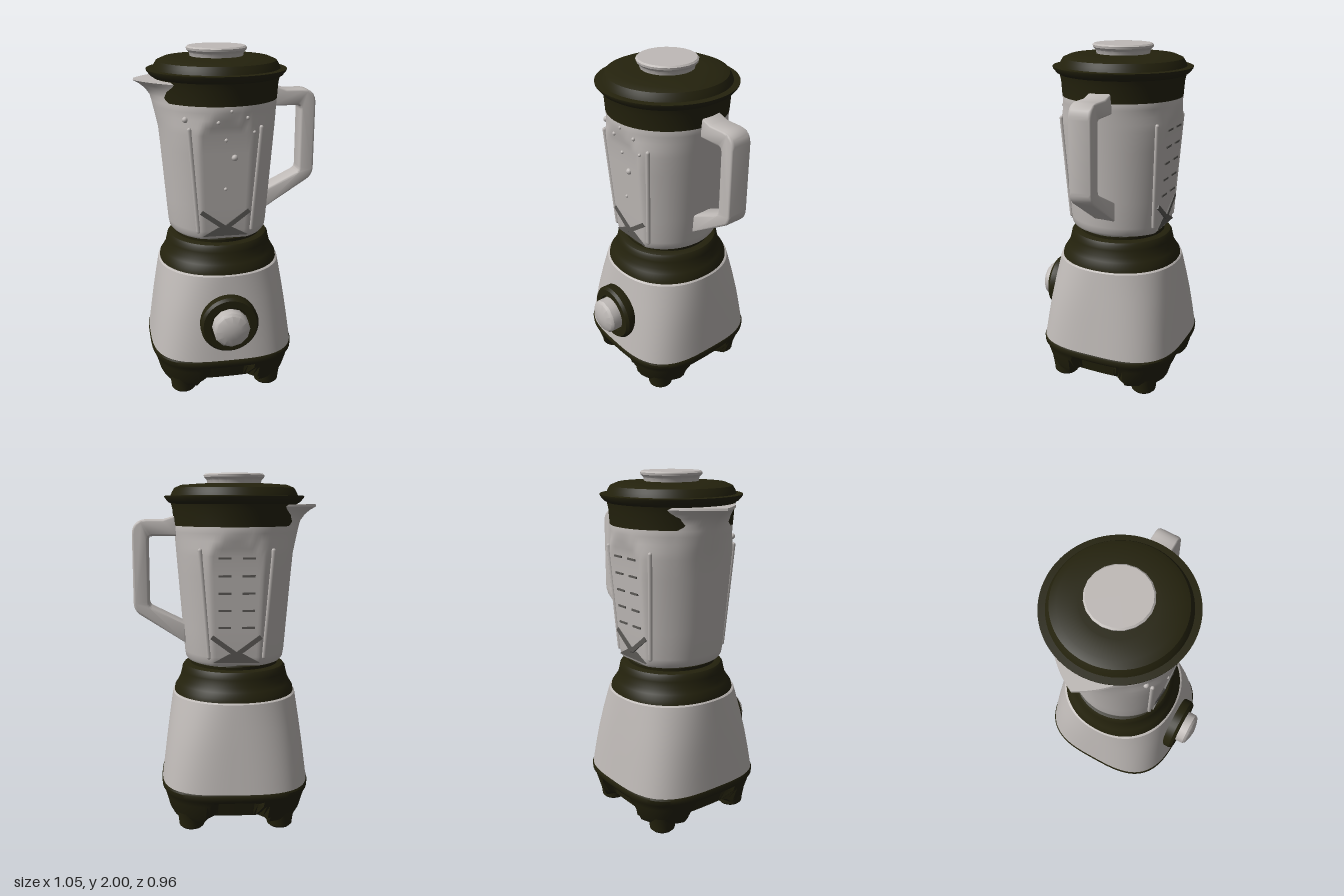
import * as THREE from 'three';
import { toCreasedNormals } from 'three/addons/utils/BufferGeometryUtils.js';

const CX = -0.055, CZ = -0.05;

// Closed loft: each row is handed to point(angle, row) -> [x, y, z], rows run upward
function loft(rows, point, n = 96, crease = 0.6) {
  const pos = [], idx = [];
  rows.forEach((row) => {
    for (let i = 0; i < n; i++) pos.push(...point((i / n) * Math.PI * 2, row));
  });
  for (let j = 0; j < rows.length - 1; j++) {
    for (let i = 0; i < n; i++) {
      const a = j * n + i, b = j * n + ((i + 1) % n);
      idx.push(a, a + n, b, b, a + n, b + n);
    }
  }
  // Caps
  [[0, 1], [rows.length - 1, -1]].forEach(([j, s]) => {
    const c = pos.length / 3;
    pos.push(0, pos[j * n * 3 + 1], 0);
    for (let i = 0; i < n; i++) {
      const a = j * n + i, b = j * n + ((i + 1) % n);
      if (s > 0) idx.push(c, a, b); else idx.push(c, b, a);
    }
  });
  const g = new THREE.BufferGeometry();
  g.setAttribute('position', new THREE.Float32BufferAttribute(pos, 3));
  g.setIndex(idx);
  return toCreasedNormals(g, crease);
}

// Superellipse point of half-width r and exponent p
function squircle(a, r, p) {
  const c = Math.cos(a), s = Math.sin(a);
  const k = r / Math.pow(Math.abs(c) ** p + Math.abs(s) ** p, 1 / p);
  return [c * k, s * k];
}

function lathe(points, segments) {
  const g = new THREE.LatheGeometry(points.map(([r, y]) => new THREE.Vector2(r, y)), segments);
  return toCreasedNormals(g, 0.6);
}

export function createModel() {
  const model = new THREE.Group();
  const mat = (name, color, side = THREE.FrontSide) => {
    const m = new THREE.MeshStandardMaterial({ color, side });
    m.name = name;
    return m;
  };
  const light = mat('pale grey', 0xbfbab7, THREE.DoubleSide);
  const dark = mat('dark olive', 0x24220d, THREE.DoubleSide);
  const steel = mat('dark steel', 0x5a5855);

  const body = new THREE.Group();
  body.name = 'blender';
  body.position.set(CX, 0, CZ);
  model.add(body);
  const add = (name, geometry, material, parent = body) => {
    const m = new THREE.Mesh(geometry, material);
    m.name = name;
    parent.add(m);
    return m;
  };

  // Base skirt with an arch recessed into each side: rows are [half width, y, recess]
  add('baseSkirt', loft([
    [0.35, 0.05, 1], [0.375, 0.06, 1], [0.39, 0.09, 1], [0.412, 0.17, 1],
    [0.42, 0.2, 0], [0.43, 0.215, 0], [0.432, 0.24, 0], [0.427, 0.25, 0],
  ], (a, [r, y, recess]) => {
    let [x, z] = squircle(a, r, 3.2);
    const half = 0.165 - (y - 0.05) * 0.25;
    const t = recess * THREE.MathUtils.clamp((half + 0.015 - Math.min(Math.abs(x), Math.abs(z))) / 0.025, 0, 1);
    x *= 1 - 0.13 * t;
    z *= 1 - 0.13 * t;
    return [x, y + (y < 0.07 ? 0.05 * t : 0), z];
  }, 160), dark);

  // Feet
  for (const sx of [-1, 1]) for (const sz of [-1, 1]) {
    add('foot', lathe([[0, 0], [0.06, 0], [0.072, 0.012], [0.076, 0.05], [0.085, 0.1]], 24), dark)
      .position.set(sx * 0.255, 0, sz * 0.262);
  }

  // Motor housing, square at the bottom and rounder at the top: [half width, y, exponent]
  const ring = (a, [r, y, p]) => {
    const [x, z] = squircle(a, r, p);
    return [x, y, z];
  };
  add('motorHousing', loft([
    [0.427, 0.25, 3.2], [0.413, 0.36, 3.1], [0.398, 0.48, 2.9], [0.382, 0.6, 2.6],
    [0.366, 0.71, 2.3], [0.36, 0.75, 2.2], [0.352, 0.757, 2.15],
  ], ring), light);

  // Collar and jar seat
  add('collar', loft([
    [0.351, 0.752, 2.15], [0.348, 0.78, 2.1], [0.33, 0.81, 2.05], [0.317, 0.835, 2], [0.307, 0.875, 2],
    [0.302, 0.9, 2], [0.291, 0.915, 2], [0.27, 0.922, 2],
  ], ring), dark);
  add('jarSeat', lathe([[0.255, 0.915], [0.258, 0.94], [0.25, 0.955]], 64), dark);

  // Control dial
  const dial = new THREE.Group();
  dial.name = 'controlDial';
  dial.position.set(0, 0.48, 0);
  dial.rotation.x = Math.PI / 2;
  body.add(dial);
  add('dialRing', lathe([[0.16, 0.36], [0.167, 0.375], [0.168, 0.425], [0.155, 0.442],
    [0.115, 0.442], [0.108, 0.432], [0, 0.432]], 40), dark, dial);
  add('dialKnob', lathe([[0.105, 0.42], [0.105, 0.49], [0.092, 0.505], [0.05, 0.518], [0, 0.525]], 12), light, dial);

  // Jar: round at the rim, flattened front and back below, creased toward the spout
  const jarRadius = (y) => THREE.MathUtils.mapLinear(y, 0.96, 1.72, 0.284, 0.344);
  const panel = (y) => 1 - THREE.MathUtils.smoothstep(y, 1.56, 1.68);
  const jarPoint = (a, [r, y, pull, width]) => {
    let x = Math.cos(a) * r;
    let z = Math.sin(a) * r * (1 + 0.07 * panel(y));
    const limit = r * (1 - 0.045 * panel(y));
    z = THREE.MathUtils.clamp(z, -limit, limit);
    if (x < 0) x -= pull * Math.max(0, 1 - Math.abs(z) / width);
    return [x, y, z];
  };
  const wall = [1.0, 1.15, 1.3, 1.45, 1.56, 1.6, 1.64, 1.68, 1.71]
    .map((y) => [jarRadius(y), y, 0.006 + Math.max(0, y - 1.55) * 0.14, 0.2]);
  add('jar', loft([
    [0.25, 0.945, 0, 0.2], [0.272, 0.95, 0, 0.2], [0.282, 0.965, 0.004, 0.2], ...wall,
    [0.335, 1.74, 0.045, 0.2], [0.335, 1.775, 0.07, 0.22], [0.335, 1.8, 0.1, 0.26],
    [0.335, 1.82, 0.135, 0.29], [0.33, 1.832, 0.137, 0.29],
  ], jarPoint, 128), light);

  // Corner ribs, blade reliefs and lower mounds on the front and back panels
  const face = (y) => jarRadius(y) * 0.955;
  const bar = (name, from, to, radius, material) => {
    const path = new THREE.LineCurve3(new THREE.Vector3(...from), new THREE.Vector3(...to));
    add(name, new THREE.TubeGeometry(path, 1, radius, 8), material);
    for (const end of [from, to]) {
      add(name + 'End', new THREE.SphereGeometry(radius, 8, 6), material).position.set(...end);
    }
  };
  for (const sz of [-1, 1]) {
    for (const sx of [-1, 1]) {
      bar('cornerRib', [sx * 0.152, 1.0, sz * 0.262], [sx * 0.198, 1.59, sz * 0.292], 0.012, light);
      const blade = add('blade', new THREE.BoxGeometry(0.17, 0.026, 0.012), steel);
      blade.position.set(sx * 0.068, 1.067, sz * (face(1.067) + 0.002));
      blade.rotation.set(0, 0, sx * 0.64);
    }
    const mound = new THREE.Shape([[-0.13, 0.97], [0.13, 0.97], [0.04, 1.02], [-0.04, 1.02]]
      .map((p) => new THREE.Vector2(...p)));
    add('bladeMound', new THREE.ExtrudeGeometry(mound, { depth: 0.008, bevelEnabled: false }), steel)
      .position.z = sz * face(1.0) - 0.004;
  }

  // Droplets on the front: x, y, radius
  [[-0.215, 1.64, 0.017], [-0.045, 1.63, 0.011], [0.025, 1.69, 0.009], [0.115, 1.65, 0.011],
    [0.155, 1.57, 0.009], [0, 1.53, 0.01], [0.048, 1.43, 0.018], [0, 1.25, 0.01]].forEach(([x, y, r]) => {
    const r0 = jarRadius(y);
    const z = Math.min(Math.sqrt(r0 * r0 - x * x) * (1 + 0.07 * panel(y)), r0 * (1 - 0.045 * panel(y)));
    add('droplet', new THREE.SphereGeometry(r, 12, 8), light).position.set(x, y, z);
  });

  // Measuring marks on the back
  for (let i = 0; i < 5; i++) {
    const y = 1.17 + i * 0.095;
    for (const sx of [-1, 1]) {
      add('measureMark', new THREE.BoxGeometry(0.07, 0.011, 0.009), steel)
        .position.set(sx * 0.065, y, -face(y) - 0.002);
    }
  }

  // Handle
  const outline = new THREE.Shape();
  outline.moveTo(0.29, 1.755);
  outline.lineTo(0.345, 1.737);
  outline.lineTo(0.44, 1.737);
  outline.quadraticCurveTo(0.51, 1.737, 0.51, 1.665);
  outline.lineTo(0.51, 1.285);
  outline.quadraticCurveTo(0.51, 1.24, 0.475, 1.218);
  outline.lineTo(0.235, 1.06);
  outline.lineTo(0.235, 1.15);
  outline.lineTo(0.42, 1.242);
  outline.quadraticCurveTo(0.446, 1.255, 0.446, 1.285);
  outline.lineTo(0.446, 1.625);
  outline.quadraticCurveTo(0.446, 1.668, 0.41, 1.668);
  outline.lineTo(0.27, 1.668);
  const handle = toCreasedNormals(new THREE.ExtrudeGeometry(outline, {
    depth: 0.1, bevelSize: 0.012, bevelThickness: 0.016, bevelSegments: 3, curveSegments: 8,
  }), 0.7);
  add('handle', handle, light, model).position.z = -0.118;

  // Lid and filler cap
  add('lid', lathe([
    [0.33, 1.72], [0.344, 1.715], [0.35, 1.8], [0.358, 1.835], [0.375, 1.845], [0.394, 1.868], [0.396, 1.878],
    [0.36, 1.88], [0.352, 1.9], [0.338, 1.922], [0.3, 1.938], [0.2, 1.945], [0, 1.945],
  ], 80), dark);
  add('fillerCap', lathe([
    [0.15, 1.94], [0.155, 1.965], [0.17, 1.98], [0.172, 1.992], [0.163, 2], [0, 2],
  ], 20), light);

  return model;
}
